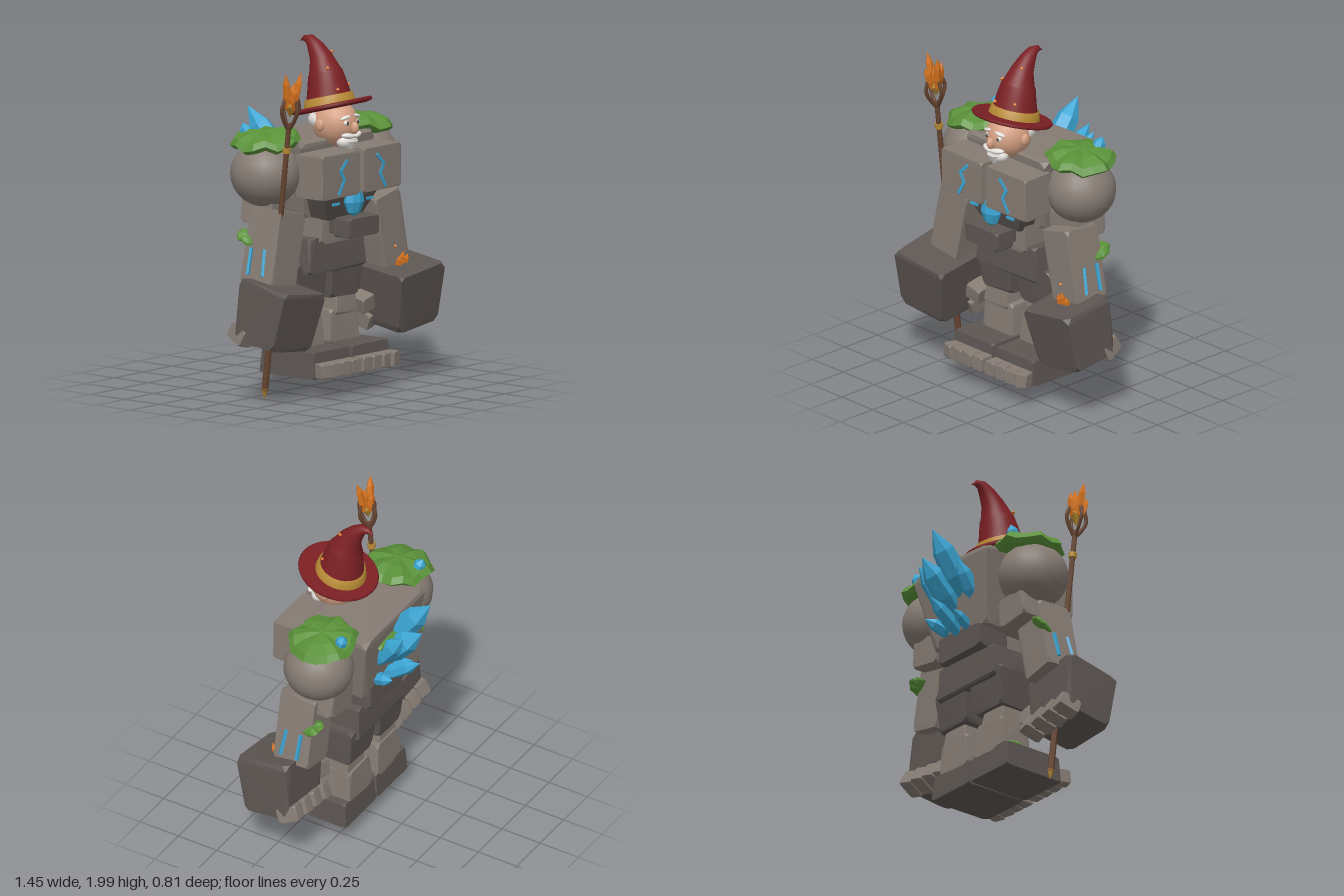
import * as THREE from 'three';
import { ConvexGeometry } from 'three/addons/geometries/ConvexGeometry.js';

const UP = new THREE.Vector3(0, 1, 0);
const V = (a) => new THREE.Vector3(...a);

export function createModel() {
  const model = new THREE.Group();
  model.name = 'rockGolemWizard';
  const M = {};
  const colours = {
    lightRock: 0x857b73, darkRock: 0x5d5653, crystalBlue: 0x3ba6d4, mossGreen: 0x5a9139, hatRed: 0x7c2024,
    gold: 0xb78a35, woodBrown: 0x664430, emberOrange: 0xd8741f, skin: 0xd6a184, beardWhite: 0xe3dfd9,
  };
  for (const [name, color] of Object.entries(colours)) {
    M[name] = new THREE.MeshStandardMaterial({ color });
    M[name].name = name;
  }
  let seed = 7;
  const rand = () => (seed = (seed * 16807) % 2147483647) / 2147483647;

  const add = (name, geo, mat, pos = [0, 0, 0], rot = [0, 0, 0], scale = [1, 1, 1], parent = model) => {
    const mesh = new THREE.Mesh(geo, mat);
    mesh.name = name;
    mesh.position.set(...pos);
    mesh.rotation.set(...rot);
    mesh.scale.set(...scale);
    parent.add(mesh);
    return mesh;
  };
  const flat = (geo) => {
    const g = geo.index ? geo.toNonIndexed() : geo;
    g.computeVertexNormals();
    return g;
  };
  // Chamfered, slightly uneven boulder
  const rock = (name, mat, pos, size, { rot, top = 1, bottom = 1, cut = 0.22, jit = 0.07 } = {}) => {
    const pts = [];
    for (const x of [-1, 1]) for (const y of [-1, 1]) for (const z of [-1, 1]) for (let a = 0; a < 3; a++) {
      const p = [x, y, z];
      p[a] *= 1 - cut;
      const q = p.map((v, k) => v * (1 - rand() * jit) * size[k] / 2);
      const t = y > 0 ? top : bottom;
      pts.push(new THREE.Vector3(q[0] * t, q[1], q[2] * t));
    }
    return add(name, new ConvexGeometry(pts), mat, pos, rot);
  };
  // Faceted pointed shard from a to b
  const shard = (name, mat, a, b, r, sides = 6, parent = model) => {
    const dir = V(b).sub(V(a)), L = dir.length();
    const prof = [[0, 0], [r * 0.7, 0], [r, L * 0.3], [r * 0.85, L * 0.68], [0, L]].map((p) => new THREE.Vector2(...p));
    add(name, flat(new THREE.LatheGeometry(prof, sides)), mat, a, [0, 0, 0], [1, 1, 1], parent)
      .quaternion.setFromUnitVectors(UP, dir.normalize());
  };
  // Straight bars joining a run of points
  const stroke = (name, mat, pts, w = 0.018, t = 0.009) => {
    for (let i = 1; i < pts.length; i++) {
      const a = V(pts[i - 1]), d = V(pts[i]).sub(a), L = d.length();
      const mid = a.clone().addScaledVector(d, 0.5);
      add(name, new THREE.BoxGeometry(w, L + w * 0.5, t), mat, mid.toArray())
        .quaternion.setFromUnitVectors(UP, d.normalize());
    }
  };
  // Ragged dome with a flattened underside
  const moss = (name, pos, size, rot, phase = 0) => {
    const g = new THREE.SphereGeometry(1, 18, 6), p = g.attributes.position;
    for (let i = 0; i < p.count; i++) {
      const x = p.getX(i), y = p.getY(i), z = p.getZ(i), a = Math.atan2(z, x);
      const k = 1 + 0.05 * Math.sin(5 * a + phase) + 0.04 * Math.sin(8 * a + 2 * phase);
      const ripple = 0.25 * Math.hypot(x, z) * Math.sin(6 * a + phase);
      p.setXYZ(i, x * k, (y < 0 ? y * 0.7 : y) + ripple, z * k);
    }
    add(name, flat(g), M.mossGreen, pos, rot, size);
  };
  // Tube of rings given as [y, z, radius, tilt], top to bottom
  const loft = (name, mat, rings) => {
    const g = new THREE.CylinderGeometry(1, 1, 1, 28, rings.length - 1, true), p = g.attributes.position;
    for (let i = 0; i < p.count; i++) {
      const [y, z, r, t] = rings[Math.round((0.5 - p.getY(i)) * (rings.length - 1))];
      const dz = p.getZ(i) * r;
      p.setXYZ(i, p.getX(i) * r, y - dz * Math.sin(t), z + dz * Math.cos(t));
    }
    g.computeVertexNormals();
    add(name, g, mat);
  };
  const ball = (name, mat, pos, size, rot) => add(name, new THREE.SphereGeometry(1, 20, 14), mat, pos, rot, size);

  // Trunk
  rock('torso', M.lightRock, [0, 1.22, 0.0], [0.66, 0.46, 0.44], { bottom: 0.72, cut: 0.15 });
  rock('lowerChest', M.darkRock, [0, 1.08, 0.14], [0.48, 0.18, 0.36], { bottom: 0.68, cut: 0.15 });
  rock('abdomen', M.lightRock, [0, 0.95, 0.08], [0.34, 0.2, 0.3]);
  rock('lowerBack', M.darkRock, [0, 0.98, -0.06], [0.38, 0.2, 0.2]);
  rock('buckleRock', M.darkRock, [0, 0.955, 0.345], [0.27, 0.11, 0.12]);
  rock('buckleBase', M.darkRock, [0, 0.95, 0.24], [0.2, 0.08, 0.14]);
  rock('pelvis', M.darkRock, [0, 0.79, 0.05], [0.5, 0.21, 0.34], { top: 0.94, cut: 0.15 });
  add('pelvisCrystal', new THREE.OctahedronGeometry(1), M.crystalBlue, [0, 0.872, 0.2], [0, 0, 0], [0.06, 0.02, 0.03]);

  for (const s of [1, -1]) {
    const side = s > 0 ? 'left' : 'right';
    // Chest plates with glowing cracks
    rock(side + 'ChestPlate', M.lightRock, [s * 0.178, 1.265, 0.285], [0.325, 0.25, 0.2], { cut: 0.1, jit: 0.03 });
    stroke(side + 'ChestRune', M.crystalBlue, [[0.13, 1.345], [0.185, 1.29], [0.155, 1.235], [0.2, 1.16]].map(([x, y]) => [s * x, y, 0.385]));
    stroke(side + 'RibRune', M.crystalBlue, [[s * 0.12, 1.09, 0.318], [s * 0.17, 1.09, 0.318]], 0.014);

    // Legs
    rock(side + 'Thigh', M.darkRock, [s * 0.152, 0.635, 0.03], [0.28, 0.24, 0.26], { bottom: 0.85 });
    rock(side + 'Knee', M.lightRock, [s * 0.165, 0.49, 0.04], [0.19, 0.16, 0.2], { top: 0.85 });
    rock(side + 'Shin', M.lightRock, [s * 0.15, 0.35, 0.03], [0.25, 0.2, 0.22], { top: 0.9 });
    rock(side + 'Foot', M.darkRock, [s * 0.167, 0.195, 0.115], [0.325, 0.15, 0.4], { cut: 0.12, top: 0.95, jit: 0.03 });
    for (let i = 0; i < 4; i++) {
      rock(side + 'Toe' + (i + 1), M.lightRock, [s * (0.05 + i * 0.078), 0.17, 0.335], [0.075, 0.08, 0.11], { rot: [0, s * 0.1 * i, 0] });
    }

    // Arms
    ball(side + 'Shoulder', M.lightRock, [s * 0.42, 1.27, 0.035], [0.195, 0.185, 0.2]);
    rock(side + 'UpperArm', M.lightRock, [s * 0.375, 1.06, 0.02], [0.22, 0.17, 0.23], { rot: [0, 0, s * 0.15] });
    rock(side + 'Forearm', M.lightRock, [s * 0.45, 0.86, 0.115], [0.22, 0.44, 0.23], { rot: [0, 0, s * 0.22], cut: 0.15 });
    rock(side + 'Fist', M.darkRock, [s * 0.53, 0.5, 0.215], [0.38, 0.35, 0.34], { rot: [0.15, 0, s * 0.13], bottom: 0.88, cut: 0.18 });
    for (let i = 0; i < 4; i++) {
      rock(side + 'Finger' + (i + 1), M.lightRock, [s * (0.38 + i * 0.097), 0.36 + i * 0.012, 0.07], [0.085, 0.09, 0.13], { rot: [0.4, s * 0.2, s * 0.13] });
    }
    rock(side + 'Thumb', M.lightRock, [s * 0.31, 0.46, 0.12], [0.1, 0.09, 0.12], { rot: [0.2, 0, s * 0.3] });
    for (const z of [0.155, 0.06]) {
      stroke(side + 'ArmRune', M.crystalBlue, [[s * 0.572, 0.87, z], [s * 0.608, 0.73, z - 0.005 + (z > 0.1 ? 0.02 : 0.01)]], 0.016, 0.016);
    }

    // Moss and small crystals
    moss(side + 'ShoulderMoss', [s * 0.4, 1.445, 0.02], [0.2, 0.068, 0.195], [0, 0, -s * 0.1], s);
    shard(side + 'ShoulderCrystal', M.crystalBlue, [s * 0.41, 1.45, -0.09], [s * 0.42, 1.54, -0.13], 0.038);
    moss(side + 'ArmMoss', [s * 0.53, 0.92, 0.0], [0.055, 0.025, 0.07], [0.5, 0, -s * 0.4], 2);
  }
  moss('ankleMoss', [-0.27, 0.285, 0.02], [0.04, 0.02, 0.06], [0, 0, 0.3], 1);
  moss('backMoss', [0.05, 1.33, -0.2], [0.13, 0.03, 0.05], [-0.5, 0, 0], 3);

  // Chest pendant crystal
  const drop = [[0, 1.005], [0.045, 1.03], [0.07, 1.09], [0.06, 1.15], [0.02, 1.19], [0, 1.27]].map((p) => new THREE.Vector2(...p));
  add('chestCrystal', flat(new THREE.LatheGeometry(drop, 8)), M.crystalBlue, [0, 0, 0.325], [0, 0, 0], [1, 1, 0.7]);

  // Crystals growing from the back
  [
    [[-0.04, 1.24, -0.14], [-0.06, 1.56, -0.4], 0.075],
    [[0.04, 1.17, -0.14], [0.03, 1.42, -0.4], 0.075],
    [[0.1, 1.18, -0.14], [0.13, 1.42, -0.34], 0.06],
    [[-0.12, 1.18, -0.13], [-0.15, 1.38, -0.29], 0.05],
    [[0.02, 1.03, -0.14], [0.0, 1.18, -0.37], 0.045],
    [[-0.06, 1.03, -0.12], [-0.09, 1.1, -0.27], 0.035],
    [[0.1, 1.05, -0.12], [0.15, 1.12, -0.28], 0.04],
  ].forEach(([a, b, r]) => shard('backCrystal', M.crystalBlue, a, b, r));

  // Ember shards on the left wrist
  [[0.475, 0.72], [0.5, 0.74], [0.535, 0.72]].forEach(([x, y]) => shard('wristEmber', M.emberOrange, [x, 0.63, 0.24], [x, y, 0.265], 0.018, 5));
  add('emberSpark', new THREE.OctahedronGeometry(0.012), M.emberOrange, [0.465, 0.765, 0.235]);

  // Head and face
  ball('head', M.skin, [0, 1.52, 0.19], [0.122, 0.13, 0.135]);
  ball('hair', M.beardWhite, [0, 1.535, 0.135], [0.112, 0.07, 0.11]);
  ball('nose', M.skin, [0, 1.505, 0.33], [0.02, 0.034, 0.026]);
  for (const s of [1, -1]) {
    const side = s > 0 ? 'left' : 'right';
    ball(side + 'Ear', M.skin, [s * 0.122, 1.52, 0.18], [0.018, 0.035, 0.028]);
    ball(side + 'Eye', M.beardWhite, [s * 0.044, 1.535, 0.308], [0.02, 0.016, 0.012]);
    ball(side + 'Pupil', M.darkRock, [s * 0.044, 1.535, 0.317], [0.01, 0.011, 0.006]);
    ball(side + 'Eyebrow', M.beardWhite, [s * 0.05, 1.566, 0.305], [0.034, 0.01, 0.016], [0, s * 0.3, -s * 0.25]);
    ball(side + 'Moustache', M.beardWhite, [s * 0.036, 1.462, 0.315], [0.045, 0.016, 0.022], [0, s * 0.3, s * 0.12]);
  }
  ball('beard', M.beardWhite, [0, 1.425, 0.275], [0.072, 0.045, 0.05]);
  add('beardTip', new THREE.ConeGeometry(0.05, 0.09, 14), M.beardWhite, [0, 1.385, 0.29], [Math.PI, 0, 0]);

  // Hat with tilted brim and curling tip
  const brim = [[0.1, -0.01], [0.19, -0.016], [0.225, -0.008], [0.231, 0.004], [0.222, 0.014], [0.19, 0.006], [0.1, 0.015]].map((p) => new THREE.Vector2(...p));
  add('hatBrim', new THREE.LatheGeometry(brim, 36), M.hatRed, [0, 1.612, 0.165], [-0.26, 0, 0]);
  loft('hatCone', M.hatRed, [
    [1.955, -0.066, 0.001, -1.9], [1.975, -0.035, 0.016, -1.5], [1.972, 0.005, 0.03, -1.0], [1.935, 0.045, 0.046, -0.6],
    [1.88, 0.085, 0.064, -0.4], [1.8, 0.115, 0.092, -0.3], [1.795, 0.116, 0.098, -0.28], [1.72, 0.132, 0.114, -0.26], [1.6, 0.15, 0.14, -0.26]]);
  loft('hatBand', M.gold, [[1.668, 0.139, 0.12, -0.26], [1.664, 0.14, 0.137, -0.26], [1.615, 0.15, 0.147, -0.26]]);
  [[0.04, 1.91, 0.13], [-0.06, 1.835, 0.185], [0.08, 1.73, 0.22], [-0.05, 1.72, 0.25]].forEach((p) =>
    add('hatStud', new THREE.OctahedronGeometry(0.013), M.emberOrange, p));

  // Staff, leaning forward through the right fist
  const staff = new THREE.Group();
  staff.name = 'staff';
  staff.position.set(-0.497, 0.01, 0.09);
  staff.rotation.x = 0.115;
  model.add(staff);
  const onStaff = (name, geo, mat, y, rot = [0, 0, 0], scale = [1, 1, 1]) => add(name, geo, mat, [0, y, 0], rot, scale, staff);
  onStaff('staffShaft', flat(new THREE.CylinderGeometry(0.014, 0.019, 1.54, 8)), M.woodBrown, 0.82);
  onStaff('staffFoot', flat(new THREE.ConeGeometry(0.021, 0.06, 8)), M.gold, 0.03, [Math.PI, 0, 0]);
  onStaff('staffRing', new THREE.CylinderGeometry(0.023, 0.023, 0.03, 10), M.gold, 1.435);
  onStaff('staffGem', flat(new THREE.OctahedronGeometry(1)), M.gold, 1.69, [0, 0.4, 0], [0.042, 0.065, 0.042]);
  for (let i = 0; i < 4; i++) {
    const a = i * Math.PI / 2 + 0.2, c = Math.cos(a), d = Math.sin(a);
    const path = new THREE.CatmullRomCurve3([[0.008, 1.56], [0.04, 1.61], [0.062, 1.67], [0.045, 1.73]].map(([r, y]) => new THREE.Vector3(c * r, y, d * r)));
    add('staffClaw', new THREE.TubeGeometry(path, 8, 0.011, 6), M.woodBrown, undefined, undefined, undefined, staff);
    shard('staffFlame', M.emberOrange, [c * 0.02, 1.68, d * 0.02], [c * 0.055, 1.85 + 0.03 * (i % 2 ? -1 : 1), d * 0.055], 0.024, 5, staff);
  }
  shard('staffFlame', M.emberOrange, [0, 1.68, 0], [0.01, 1.82, 0], 0.026, 5, staff);
  return model;
}
